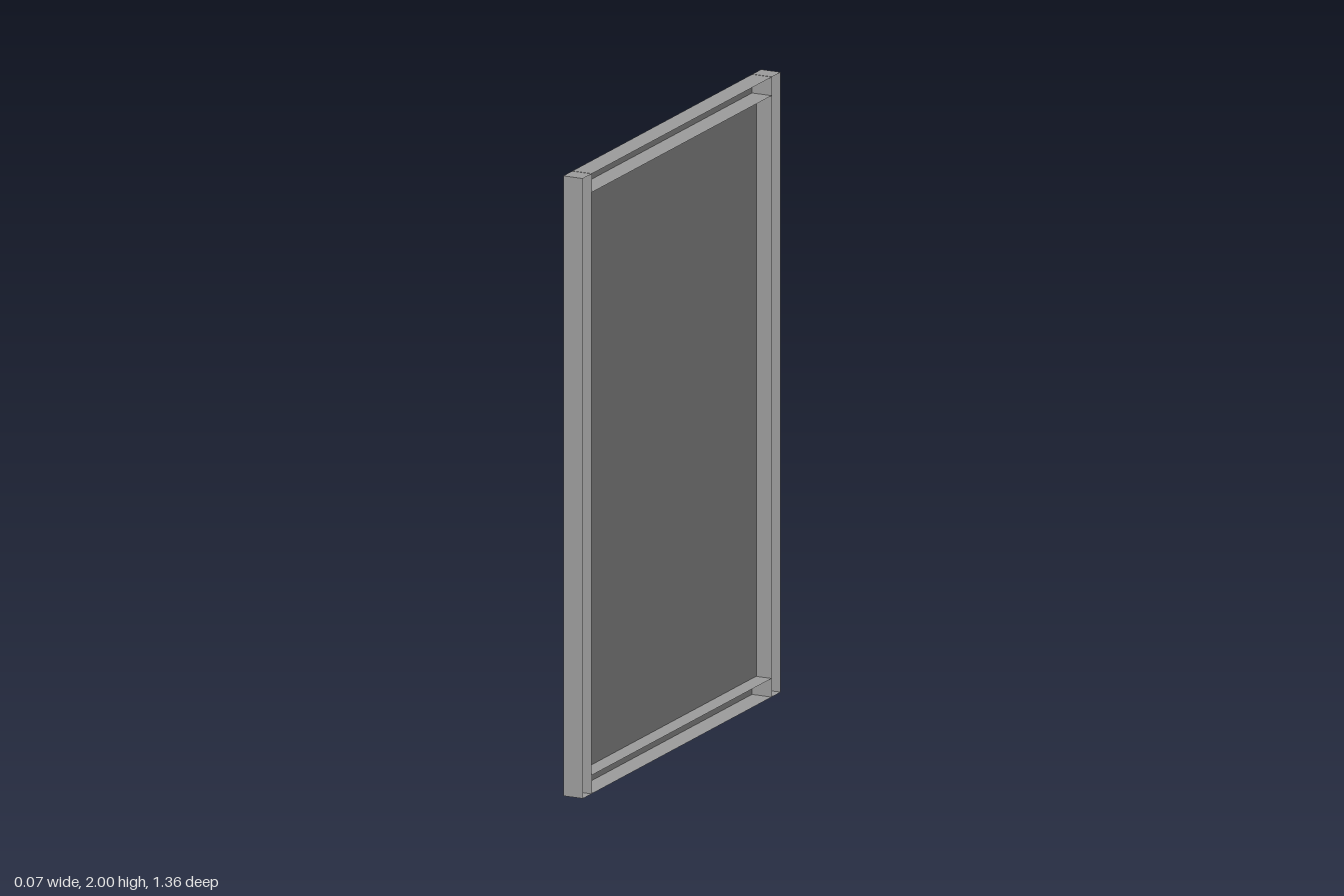
import * as THREE from 'three';

const HEIGHT = 2;
const HALF_WIDTH = 0.68; // along z
const DEPTH = 0.068; // along x
const BAR = 0.06; // visible width of the frame bars
const SEAM = 0.003; // joint between rail ends and posts

const material = new THREE.MeshStandardMaterial({
  color: 0x9c9c9c,
  flatShading: true,
  side: THREE.DoubleSide,
});

// Thin-walled bar, hollow and open towards +x
function openBar(name, height, length, y, z) {
  const geometry = new THREE.BoxGeometry(DEPTH, height, length);
  geometry.setIndex(Array.from(geometry.index.array).slice(6)); // drop the +x face
  geometry.clearGroups();
  const mesh = new THREE.Mesh(geometry, material);
  mesh.name = name;
  mesh.position.set(0, y, z);
  return mesh;
}

export function createModel() {
  const group = new THREE.Group();
  group.name = 'framedPanel';
  const innerWidth = 2 * (HALF_WIDTH - BAR);
  const railLength = innerWidth - 2 * SEAM;

  // Full-height side posts
  for (const side of [1, -1]) {
    group.add(openBar(side > 0 ? 'frontPost' : 'backPost',
      HEIGHT, BAR, HEIGHT / 2, side * (HALF_WIDTH - BAR / 2)));
  }

  // Rails between the posts
  group.add(openBar('topRail', BAR, railLength, HEIGHT - BAR / 2, 0));
  group.add(openBar('bottomRail', BAR, railLength, BAR / 2, 0));

  // Thin sheet set close to the closed side of the frame
  const panel = new THREE.Mesh(
    new THREE.PlaneGeometry(innerWidth, HEIGHT - 2 * BAR), material);
  panel.name = 'panel';
  panel.rotation.y = Math.PI / 2;
  panel.position.set(-0.02, HEIGHT / 2, 0);
  group.add(panel);

  return group;
}
